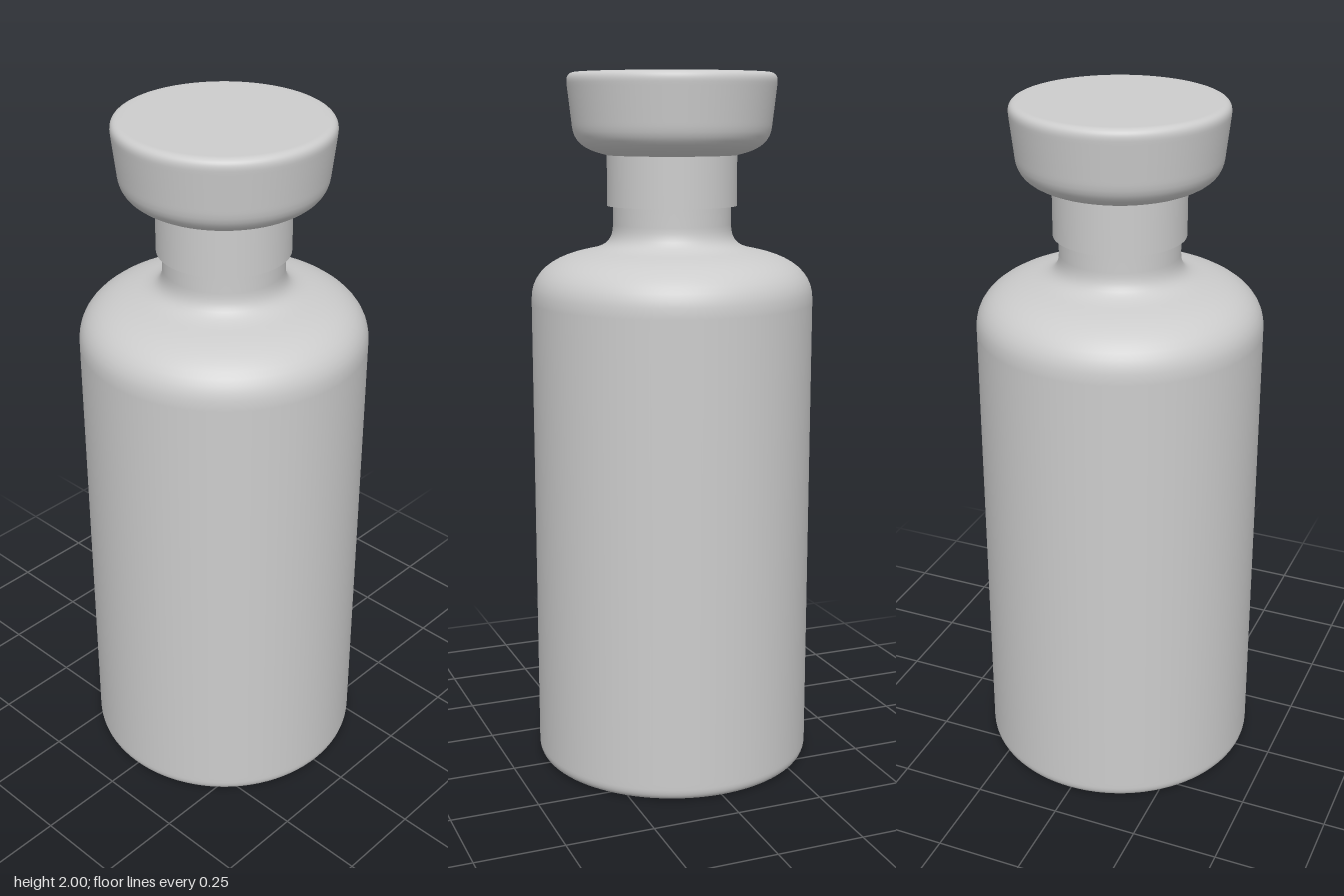
import * as THREE from 'three';

const SEGMENTS = 96;

// Turn a profile (bottom to top) around the y axis
function turned(name, path, material) {
  const points = path.getPoints(10).filter((p, i, all) => i === 0 || p.distanceTo(all[i - 1]) > 1e-5);
  const mesh = new THREE.Mesh(new THREE.LatheGeometry(points, SEGMENTS), material);
  mesh.name = name;
  return mesh;
}

export function createModel() {
  const group = new THREE.Group();
  group.name = 'bottle';
  const grey = new THREE.MeshStandardMaterial({ color: 0xcccccc });
  grey.name = 'light grey';

  // Body: rounded base, straight wall, domed shoulder, flared neck
  const body = new THREE.Path();
  body.moveTo(0, 0);
  body.lineTo(0.36, 0);
  body.lineTo(0.37, 0);
  body.quadraticCurveTo(0.402, 0, 0.402, 0.035);
  body.lineTo(0.402, 0.05);
  body.lineTo(0.402, 1.36);
  body.lineTo(0.402, 1.37);
  body.bezierCurveTo(0.402, 1.44, 0.35, 1.485, 0.25, 1.505);
  body.bezierCurveTo(0.2, 1.515, 0.168, 1.525, 0.168, 1.58);
  body.lineTo(0.168, 1.64);
  group.add(turned('body', body, grey));

  // Collar: plain sleeve around the neck with a sharp lower lip
  const collar = new THREE.Mesh(new THREE.CylinderGeometry(0.184, 0.184, 0.15, SEGMENTS), grey);
  collar.name = 'collar';
  collar.position.y = 1.707;
  group.add(collar);

  // Stopper: rounded underside, slightly flaring side, flat top
  const stopper = new THREE.Path();
  stopper.moveTo(0, 1.772);
  stopper.lineTo(0.18, 1.772);
  stopper.bezierCurveTo(0.235, 1.785, 0.276, 1.8, 0.281, 1.855);
  stopper.lineTo(0.282, 1.865);
  stopper.lineTo(0.293, 1.96);
  stopper.lineTo(0.294, 1.97);
  stopper.quadraticCurveTo(0.297, 2, 0.268, 2);
  stopper.lineTo(0.26, 2);
  stopper.lineTo(0, 2);
  group.add(turned('stopper', stopper, grey));

  return group;
}
